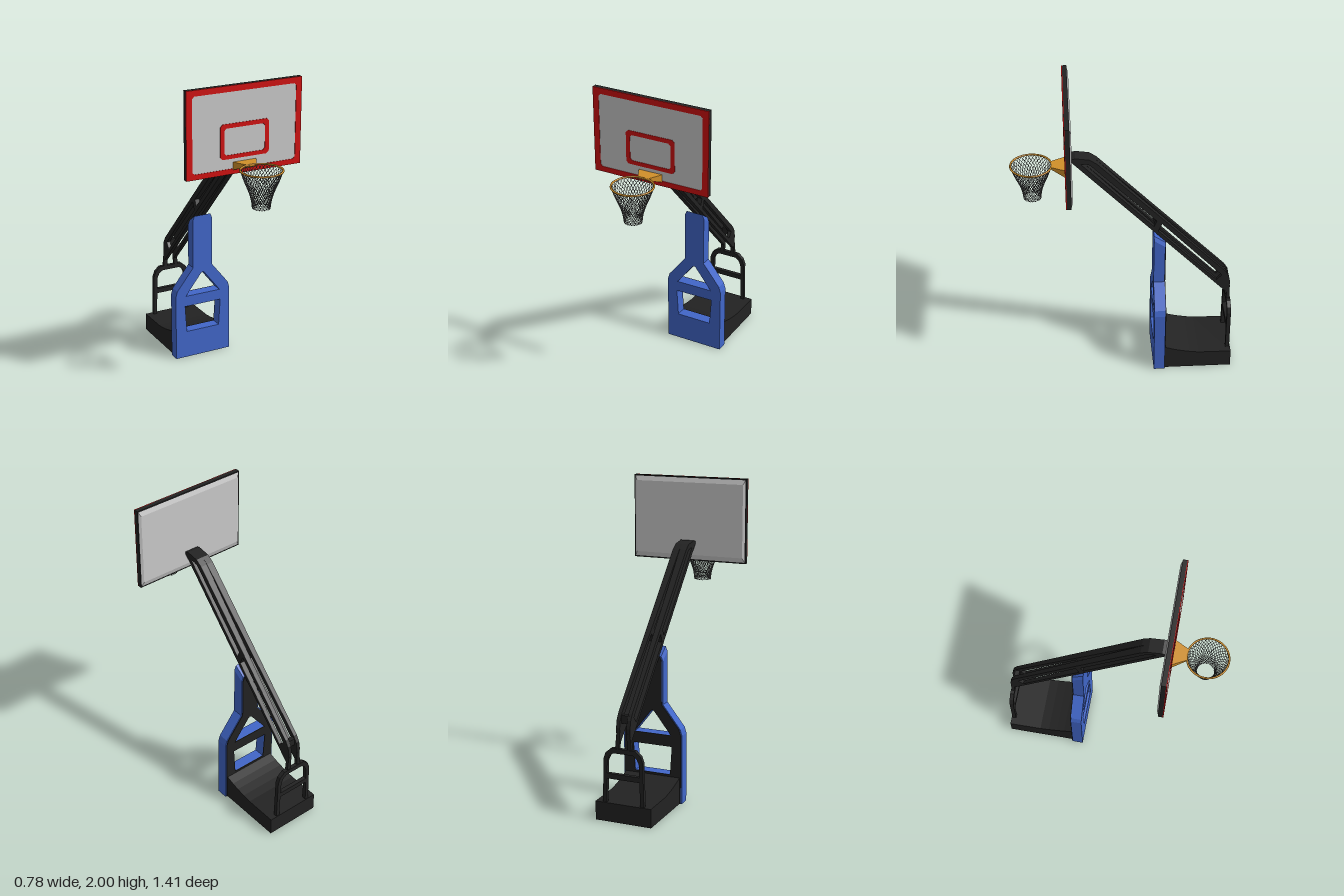
import * as THREE from 'three';
import { mergeGeometries } from 'three/addons/utils/BufferGeometryUtils.js';

const mat = (name, color, side = THREE.FrontSide) =>
  Object.assign(new THREE.MeshStandardMaterial({ color, side }), { name });

const makeShape = (pts, holes = []) => {
  const v = (list) => list.map(([x, y]) => new THREE.Vector2(x, y));
  const shape = new THREE.Shape(v(pts));
  holes.forEach((h) => shape.holes.push(new THREE.Path(v(h))));
  return shape;
};

// Outline in x,y extruded between two z values
const frontExtrude = (pts, holes, z0, z1) =>
  new THREE.ExtrudeGeometry(makeShape(pts, holes), { depth: z1 - z0, bevelEnabled: false }).translate(0, 0, z0);

// Outline in z,y extruded between two x values
const sideExtrude = (pts, holes, x0, x1) =>
  new THREE.ExtrudeGeometry(makeShape(pts, holes), { depth: x1 - x0, bevelEnabled: false })
    .rotateY(-Math.PI / 2).translate(x1, 0, 0);

// Moves every vertex by a rule and refreshes the normals
const reshape = (geo, rule) => {
  const g = geo.index ? geo.toNonIndexed() : geo;
  const p = g.attributes.position;
  const v = new THREE.Vector3();
  for (let i = 0; i < p.count; i++) {
    rule(v.fromBufferAttribute(p, i));
    p.setXYZ(i, v.x, v.y, v.z);
  }
  g.computeVertexNormals();
  return g;
};

// Right half of an outline mirrored into a closed loop
const mirrored = (half) => [...half, ...half.map(([x, y]) => [-x, y]).reverse()];

// Rectangle with cut corners
const cutRect = (w, y0, y1, c) => mirrored([[w - c, y0], [w, y0 + c], [w, y1 - c], [w - c, y1]]);
const rect = (w, y0, y1) => mirrored([[w, y0], [w, y1]]);

export function createModel() {
  const model = new THREE.Group();
  model.name = 'basketballStand';
  const black = mat('black', 0x222222);
  const blue = mat('blue', 0x4166c8);
  const red = mat('red', 0xd01010);
  const grey = mat('grey', 0xcacaca);
  const orange = mat('orange', 0xd0902a);
  const netGrey = mat('netGrey', 0x5c5c5c, THREE.DoubleSide);
  const add = (name, geo, material, parent = model) => {
    const mesh = new THREE.Mesh(geo, material);
    mesh.name = name;
    parent.add(mesh);
    return mesh;
  };

  // Weighted base, rising in a curve toward the column
  add('base', sideExtrude([
    [-0.705, 0], [-0.26, 0], [-0.26, 0.175], [-0.32, 0.155], [-0.37, 0.142],
    [-0.43, 0.13], [-0.49, 0.122], [-0.705, 0.12],
  ], [], -0.185, 0.185), black);

  // Padded front column with a window and a triangular opening
  const columnOutline = (d, top) => mirrored([
    [0.2 - d, 0], [0.2 - d, 0.45], [0.188 - d, 0.49], [0.07 - d, 0.64], [0.07 - d, top - 0.03], [0.058 - d, top],
  ]);
  const columnHoles = [
    [[-0.12, 0.187], [0.12, 0.187], [0.132, 0.372], [-0.132, 0.372]],
    [[-0.126, 0.445], [0.126, 0.445], [0.012, 0.592], [0, 0.6], [-0.012, 0.592]],
  ];
  add('column', reshape(frontExtrude(columnOutline(0, 1), columnHoles, -0.26, -0.188), (v) => {
    if (v.z < -0.25 && v.y > 0.9) v.y -= 0.05;
  }), blue);
  add('columnBack', frontExtrude(columnOutline(0.008, 0.948), columnHoles, -0.265, -0.259), black);

  // Sloping arm made of two side frames that close up toward the board
  const armOutline = [
    [0.325, 1.565], [0.325, 1.585], [0.3, 1.592], [0.215, 1.58], [0.17, 1.55],
    [-0.66, 0.69], [-0.685, 0.65], [-0.695, 0.6], [-0.69, 0.51], [-0.68, 0.51],
  ];
  const armHoles = [
    [[0.268, 1.55], [0.235, 1.55], [0.21, 1.54], [-0.205, 1.108], [-0.188, 1.066]],
    [[-0.238, 1.085], [-0.637, 0.66], [-0.605, 0.622], [-0.216, 1.03]],
  ];
  const arm = new THREE.Group();
  arm.name = 'arm';
  model.add(arm);
  for (const s of [-1, 1]) {
    const geo = sideExtrude(armOutline, armHoles, s > 0 ? 0 : -0.046, s > 0 ? 0.046 : 0);
    add(s > 0 ? 'leftArmFrame' : 'rightArmFrame', reshape(geo, (v) => {
      if (Math.abs(v.x) < 0.01) v.x = s * THREE.MathUtils.clamp((0.19 - v.z) * 0.032, 0, 0.022);
    }), black, arm);
  }
  // Cross pin joining the lower ends of the arm frames
  add('armPin', new THREE.BoxGeometry(0.06, 0.05, 0.03).translate(0, 0.65, -0.655), black, arm);

  // Rear support: arched frame, crossbar and two uprights to the arm
  add('rearFrame', frontExtrude(
    mirrored([[0.137, 0.1], [0.13, 0.4], [0.115, 0.44], [0.08, 0.47]]),
    [
      mirrored([[0.112, 0.11], [0.108, 0.275]]),
      mirrored([[0.107, 0.308], [0.104, 0.39], [0.09, 0.42], [0.065, 0.44]]),
    ], -0.7, -0.674), black);
  for (const s of [-1, 1]) {
    add(s > 0 ? 'leftUpright' : 'rightUpright', frontExtrude(
      [[s * 0.028, 0.46], [s * 0.055, 0.46], [s * 0.044, 0.57], [s * 0.022, 0.57]], [], -0.695, -0.674), black);
  }

  // Backboard: dark core, pale faces, red border and target frame
  const board = new THREE.Group();
  board.name = 'backboard';
  model.add(board);
  add('boardCore', frontExtrude(rect(0.39, 1.455, 2), [], 0.334, 0.362), black, board);
  add('boardFace', frontExtrude(rect(0.36, 1.48, 1.97), [], 0.361, 0.364), grey, board);
  add('boardBack', reshape(new THREE.BoxGeometry(0.77, 0.535, 0.01).translate(0, 1.7275, 0.33), (v) => {
    if (v.z < 0.33) {
      v.x *= 0.96;
      v.y = 1.7275 + (v.y - 1.7275) * 0.88;
    }
  }), grey, board);
  add('boardBorder', frontExtrude(rect(0.39, 1.455, 2), [cutRect(0.351, 1.489, 1.963, 0.014)], 0.361, 0.367), red, board);
  add('targetFrame', frontExtrude(cutRect(0.166, 1.552, 1.77, 0.016), [cutRect(0.139, 1.577, 1.743, 0.014)], 0.363, 0.367), red, board);

  // Hoop: wedge bracket, rim and woven net
  const hoop = new THREE.Group();
  hoop.name = 'hoop';
  model.add(hoop);
  add('hoopBracket', reshape(new THREE.BoxGeometry(0.16, 0.05, 0.085).translate(0, 1.505, 0.4075), (v) => {
    if (v.z > 0.41) {
      v.x *= 0.45;
      if (v.y < 1.5) v.y = 1.515;
    }
  }), orange, hoop);
  const cz = 0.572;
  add('rim', new THREE.TorusGeometry(0.127, 0.006, 8, 48).rotateX(Math.PI / 2).translate(0, 1.525, cz), orange, hoop);

  const netProfile = new THREE.CatmullRomCurve3([
    [0.126, 1.522], [0.104, 1.46], [0.075, 1.39], [0.061, 1.34], [0.054, 1.29],
  ].map(([r, y]) => new THREE.Vector3(r, y, 0)));
  const strands = [];
  const count = 36;
  for (const dir of [-1, 1]) {
    const path = [];
    for (let i = 0; i <= 12; i++) {
      const p = netProfile.getPoint(i / 12);
      const a = (dir * 1.4 * i) / 12;
      path.push(new THREE.Vector3(p.x * Math.cos(a), p.y, p.x * Math.sin(a)));
    }
    const strand = new THREE.TubeGeometry(new THREE.CatmullRomCurve3(path), 16, 0.0016, 4);
    for (let k = 0; k < count; k++) strands.push(strand.clone().rotateY((k / count) * Math.PI * 2));
  }
  add('net', mergeGeometries(strands).translate(0, 0, cz), netGrey, hoop);

  return model;
}
